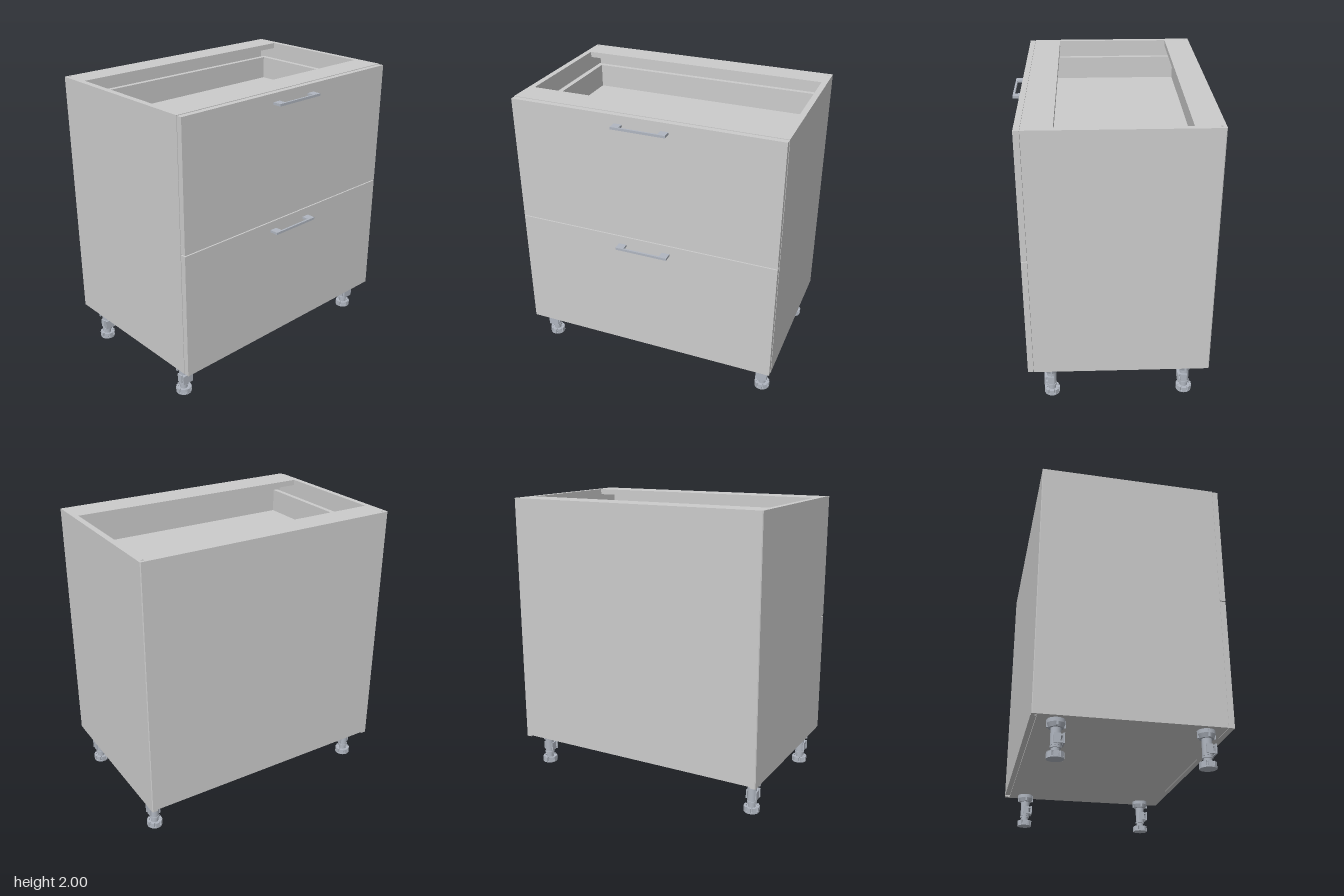
import * as THREE from 'three';

const body = new THREE.MeshStandardMaterial({ color: 0xcccccc });
const metal = new THREE.MeshStandardMaterial({ color: 0xb0b6c0 });

// Box given by its limits on each axis
function box(name, x0, x1, y0, y1, z0, z1, mat = body) {
  const m = new THREE.Mesh(new THREE.BoxGeometry(x1 - x0, y1 - y0, z1 - z0), mat);
  m.position.set((x0 + x1) / 2, (y0 + y1) / 2, (z0 + z1) / 2);
  m.name = name;
  return m;
}

function cyl(name, rTop, rBottom, y0, y1, sides = 24) {
  const m = new THREE.Mesh(new THREE.CylinderGeometry(rTop, rBottom, y1 - y0, sides), metal);
  m.position.y = (y0 + y1) / 2;
  m.name = name;
  return m;
}

// Plan outline of [x, z] points, extruded upwards from y0 to y1
function plan(name, pts, y0, y1, mat, hole) {
  const toV = ([x, z]) => new THREE.Vector2(x, -z);
  const shape = new THREE.Shape(pts.map(toV));
  if (hole) shape.holes.push(new THREE.Path(hole.map(toV)));
  const geo = new THREE.ExtrudeGeometry(shape, { depth: y1 - y0, bevelEnabled: false });
  geo.rotateX(-Math.PI / 2);
  const m = new THREE.Mesh(geo, mat);
  m.position.y = y0;
  m.name = name;
  return m;
}

function makeHandle(y) {
  return plan('handle', [
    [-0.185, 0.585], [-0.13, 0.585], [-0.13, 0.632], [0.13, 0.632],
    [0.13, 0.585], [0.185, 0.585], [0.185, 0.645], [-0.185, 0.645],
  ], y, y + 0.016, metal);
}

// Front panel, handle and open tray
function makeDrawer(name, frontBottom, frontTop, handleY, trayBottom, trayTop) {
  const g = new THREE.Group();
  g.name = name;
  g.add(box('drawerFront', -0.923, 0.923, frontBottom, frontTop, 0.547, 0.585), makeHandle(handleY));
  for (const s of [-1, 1]) {
    g.add(box('traySide', s * 0.8475 - 0.0175, s * 0.8475 + 0.0175, trayBottom, trayTop, -0.555, 0.546));
  }
  g.add(box('trayBack', -0.83, 0.83, trayBottom, trayTop, -0.555, -0.52));
  g.add(box('trayFloor', -0.83, 0.83, trayBottom, trayBottom + 0.02, -0.52, 0.546));
  return g;
}

// Adjustable leg with mounting flange, plinth clip and ribbed foot
function makeLeg() {
  const g = new THREE.Group();
  g.name = 'leg';
  g.add(
    cyl('flangePlate', 0.056, 0.056, 0.215, 0.24),
    cyl('flangeCone', 0.056, 0.046, 0.188, 0.215),
    cyl('column', 0.032, 0.032, 0.08, 0.19),
    cyl('threadedStem', 0.026, 0.026, 0.03, 0.08),
    cyl('footCollar', 0.034, 0.034, 0.065, 0.078),
    cyl('footCore', 0.044, 0.044, 0.006, 0.034),
    cyl('footBase', 0.053, 0.053, 0, 0.01),
  );
  for (let i = 0; i < 8; i++) {
    const a = (i / 8) * Math.PI * 2;
    const rib = box('footRib', -0.014, 0.014, 0, 0.04, -0.008, 0.008, metal);
    rib.position.set(Math.sin(a) * 0.044, 0.02, Math.cos(a) * 0.044);
    rib.rotation.y = a;
    g.add(rib);
  }
  // Clip collar around the column, with two arms carrying a front plate
  for (const s of [-1, 1]) {
    g.add(box('clipArm', s * 0.034 - 0.005, s * 0.034 + 0.005, 0.09, 0.15, -0.015, 0.025, metal));
    const y = s > 0 ? 0.136 : 0.094;
    g.add(box('clipBracket', -0.03, 0.03, y, y + 0.012, 0.02, 0.044, metal));
  }
  g.add(box('clipPlate', -0.04, 0.04, 0.088, 0.152, 0.04, 0.05, metal));
  // Stiffening fins under the flange
  for (let i = 0; i < 4; i++) {
    const fin = box('flangeFin', -0.006, 0.006, 0.19, 0.238, -0.058, -0.03, metal);
    const pivot = new THREE.Group();
    pivot.name = 'flangeFinMount';
    pivot.rotation.y = (i * Math.PI) / 2;
    pivot.add(fin);
    g.add(pivot);
  }
  return g;
}

export function createModel() {
  const root = new THREE.Group();
  root.name = 'drawerCabinet';

  // Side panels with a small vertical slot near the back
  for (const s of [-1, 1]) {
    const pts = [[0.885, 0.545], [0.925, 0.545], [0.925, -0.64], [0.92, -0.645], [0.885, -0.645]];
    const slot = [[0.888, -0.624], [0.905, -0.624], [0.905, -0.611], [0.888, -0.611]];
    const mirror = (list) => list.map(([x, z]) => [s * x, z]);
    root.add(plan('sidePanel', mirror(pts), 0.24, 2, body, mirror(slot)));
  }

  // Carcass panels and top rails
  root.add(
    box('bottomPanel', -0.885, 0.885, 0.24, 0.28, -0.61, 0.545),
    box('backPanel', -0.885, 0.885, 0.25, 1.96, -0.645, -0.61),
    box('backRail', -0.885, 0.885, 1.96, 2, -0.645, -0.46),
    box('frontRail', -0.885, 0.885, 1.96, 2, 0.355, 0.545),
  );

  // Drawers
  root.add(
    makeDrawer('upperDrawer', 1.123, 1.997, 1.924, 1.7, 1.885),
    makeDrawer('lowerDrawer', 0.24, 1.116, 1.042, 0.34, 0.7),
  );

  // Legs
  for (const x of [-0.84, 0.84]) {
    for (const z of [0.43, -0.49]) {
      const leg = makeLeg();
      leg.position.set(x, 0, z);
      root.add(leg);
    }
  }
  return root;
}
